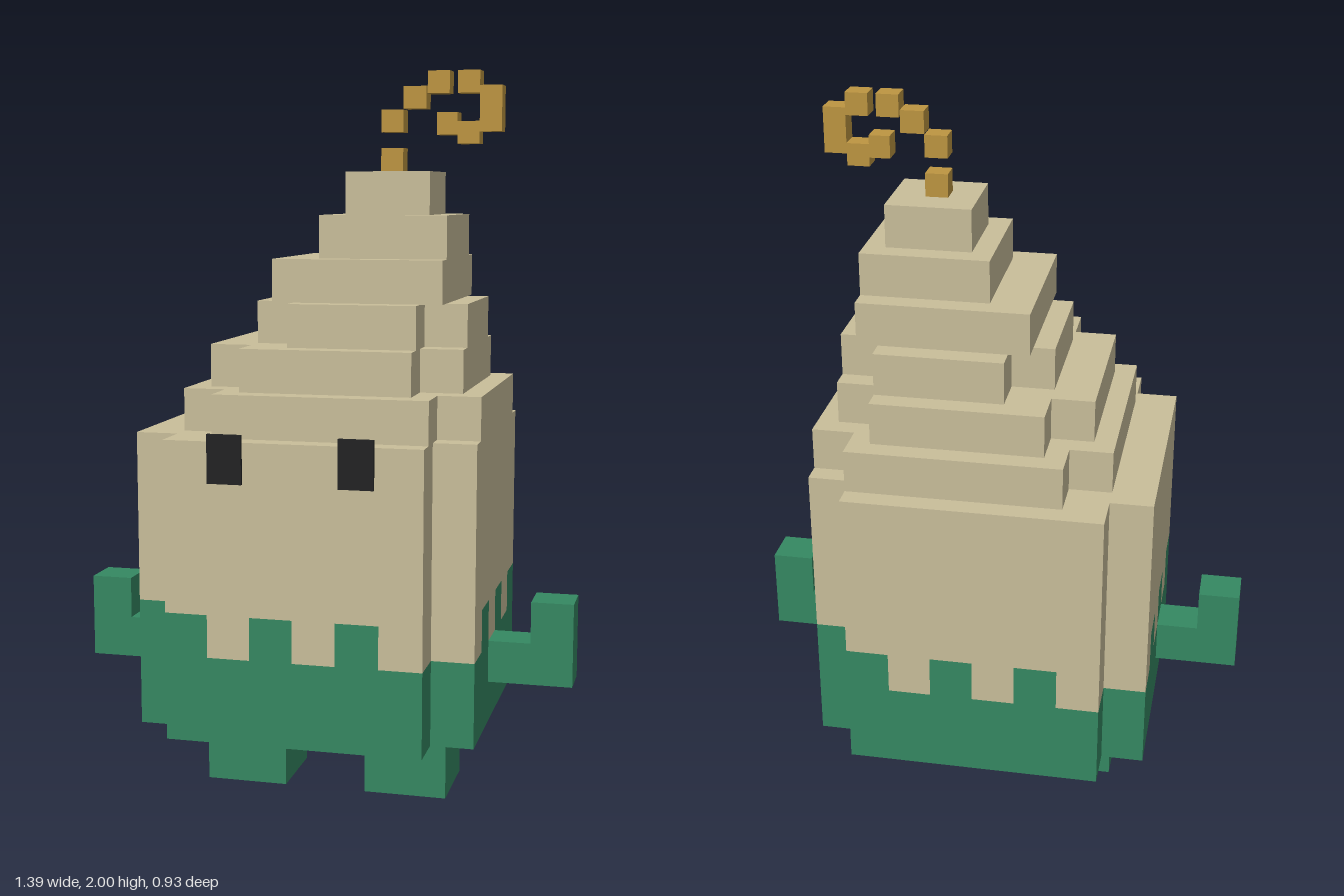
import * as THREE from 'three';

const U = 0.1155;   // block size
const ZC = -0.0045; // body centre in z

const mat = (name, color) => {
  const m = new THREE.MeshStandardMaterial({ color });
  m.name = name;
  return m;
};

export function createModel() {
  const model = new THREE.Group();
  const tan = mat('tan', 0xc9be9a);
  const green = mat('green', 0x358862);
  const gold = mat('gold', 0xbd9541);
  const black = mat('black', 0x222324);

  const add = (name, geometry, material, parent = model) => {
    const mesh = new THREE.Mesh(geometry, material);
    mesh.name = name;
    parent.add(mesh);
    return mesh;
  };

  const box = (name, material, x0, x1, y0, y1, z0, z1, parent) =>
    add(name, new THREE.BoxGeometry(x1 - x0, y1 - y0, z1 - z0), material, parent)
      .position.set((x0 + x1) / 2, (y0 + y1) / 2, (z0 + z1) / 2);

  // Slab with square notches cut from its corners; all values in blocks
  const slab = (name, material, x0, x1, halfZ, notch, y0, y1) => {
    const h = halfZ, n = notch;
    const outline = n
      ? [[x0 + n, -h], [x1 - n, -h], [x1 - n, n - h], [x1, n - h], [x1, h - n], [x1 - n, h - n],
         [x1 - n, h], [x0 + n, h], [x0 + n, h - n], [x0, h - n], [x0, n - h], [x0 + n, n - h]]
      : [[x0, -h], [x1, -h], [x1, h], [x0, h]];
    const shape = new THREE.Shape(outline.map(([x, z]) => new THREE.Vector2(x * U, z * U)));
    const g = new THREE.ExtrudeGeometry(shape, { depth: (y1 - y0) * U, bevelEnabled: false });
    g.rotateX(-Math.PI / 2).translate(0, y0 * U, ZC);
    add(name, g, material);
  };

  // Body
  slab('lowerBody', green, -4, 4, 4, 1, 2, 4);
  slab('upperBody', tan, -4, 4, 4, 1, 5, 9);

  // Toothed band between them: walk half the outline, then repeat it turned by 180 degrees
  const steps = { E: [1, 0], S: [0, 1], N: [0, -1] };
  const path = 'ESEEEEEENENNNNNN';
  const tones = 'GGGTGTGTTTTGTGTG';
  const walls = { G: [], T: [] };
  for (const sign of [1, -1]) {
    let x = -4 * sign, z = 3 * sign;
    [...path].forEach((dir, i) => {
      const nx = x + steps[dir][0] * sign, nz = z + steps[dir][1] * sign;
      const corners = [[x, 4, z], [nx, 4, nz], [nx, 5, nz], [x, 5, z]];
      for (const k of [0, 1, 2, 0, 2, 3]) {
        const [a, b, c] = corners[k];
        walls[tones[i]].push(a * U, b * U, c * U + ZC);
      }
      x = nx;
      z = nz;
    });
  }
  for (const [key, name, material] of [['G', 'bandTeeth', green], ['T', 'bandGaps', tan]]) {
    const g = new THREE.BufferGeometry();
    g.setAttribute('position', new THREE.Float32BufferAttribute(walls[key], 3));
    g.computeVertexNormals();
    add(name, g, material);
  }

  // Stepped, leaning head: x0, x1, half depth, notch
  [[-3, 4, 3.5, 1], [-2.5, 3.5, 3, 1], [-1.5, 3.5, 2.5, 1],
   [-1, 3, 2, 0], [0, 3, 1.5, 0], [0.5, 2.5, 1, 0]]
    .forEach(([x0, x1, h, n], i) => slab('headStep' + (i + 1), tan, x0, x1, h, n, 9 + i, 10 + i));

  // Legs and bent arms
  for (const [side, s] of [['left', 1], ['right', -1]]) {
    const mirrored = (name, a, b, y0, y1, z0, z1) =>
      box(name, green, Math.min(a * s, b * s) * U, Math.max(a * s, b * s) * U,
        y0 * U, y1 * U, z0 * U + ZC, z1 * U + ZC);
    mirrored(side + 'Leg', 1, 3, 0, 2, -1, 1);
    mirrored(side + 'Arm', 4, 5, 3, 4, 0, 1);
    mirrored(side + 'Hand', 5, 6, 3, 5, 0, 1);
  }

  // Eyes
  const front = 4 * U + ZC;
  box('rightEye', black, -0.224, -0.131, 0.93, 1.06, front, front + 0.009);
  box('leftEye', black, 0.126, 0.219, 0.93, 1.06, front, front + 0.009);

  // Curl of small blocks on top: x0, x1, y0, y1
  const curl = new THREE.Group();
  curl.name = 'curl';
  model.add(curl);
  [[0.137, 0.198, 1.733, 1.796], [0.137, 0.198, 1.838, 1.898], [0.198, 0.261, 1.9, 1.96],
   [0.264, 0.324, 1.94, 2], [0.346, 0.406, 1.94, 2], [0.406, 0.466, 1.838, 1.96],
   [0.346, 0.406, 1.806, 1.866], [0.29, 0.35, 1.83, 1.89]]
    .forEach(([x0, x1, y0, y1], i) =>
      // the last block is a hair slimmer where it overlaps its neighbour
      box('curlBlock' + (i + 1), gold, x0, i === 7 ? 0.346 : x1, y0, y1, ZC - 0.03, ZC + 0.03, curl));

  return model;
}
